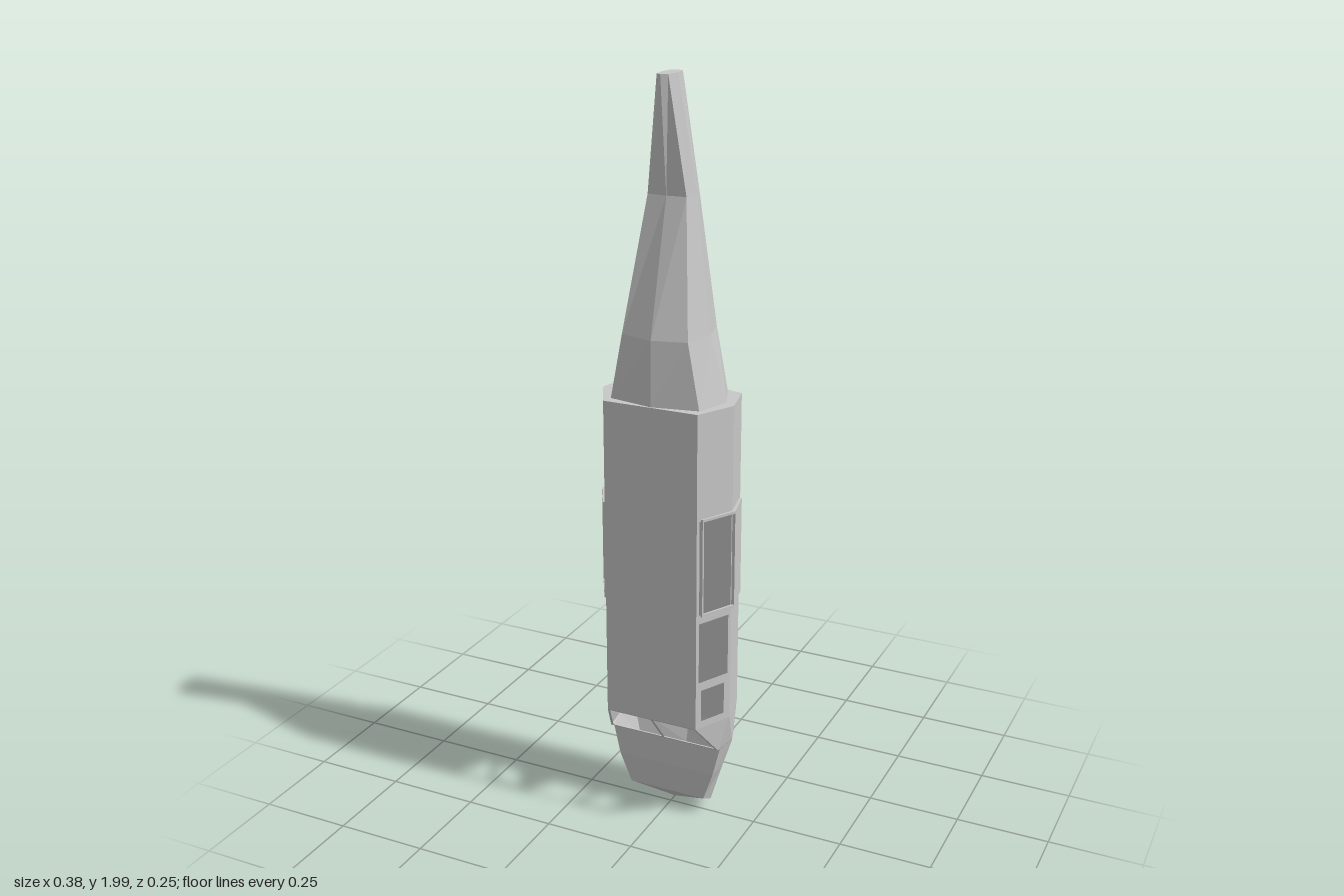
import * as THREE from 'three';

const grey = new THREE.MeshStandardMaterial({ color: 0xc8c8c8, flatShading: true, side: THREE.DoubleSide });
grey.name = 'light grey';

// Complete a half cross-section ([x, y, z], front to back) with its mirror image
const ring = (half) => [...half, ...half.filter((p) => p[0] > 0).reverse().map(([x, y, z]) => [-x, y, z])];

// Faceted geometry from convex polygons
function facets(polygons) {
  const pos = [];
  for (const p of polygons)
    for (let i = 1; i < p.length - 1; i++) pos.push(...p[0], ...p[i], ...p[i + 1]);
  const g = new THREE.BufferGeometry();
  g.setAttribute('position', new THREE.Float32BufferAttribute(pos, 3));
  g.computeVertexNormals();
  return g;
}

// Quads between successive rings, leaving out those that skip() names
function loft(rings, skip = () => false) {
  const quads = [];
  for (let r = 0; r < rings.length - 1; r++) {
    const lo = rings[r], hi = rings[r + 1];
    lo.forEach((p, i) => {
      const j = (i + 1) % lo.length;
      if (!skip(r, i)) quads.push([p, lo[j], hi[j], hi[i]]);
    });
  }
  return quads;
}

// Flat sheet with openings, laid out from an origin along two directions
function sheet(origin, xDir, yDir, outline, holes) {
  const pts = (a) => a.map(([x, y]) => new THREE.Vector2(x, y));
  const s = new THREE.Shape(pts(outline));
  for (const h of holes) s.holes.push(new THREE.Path(pts(h)));
  const X = new THREE.Vector3(...xDir).normalize(), Y = new THREE.Vector3(...yDir).normalize();
  const m = new THREE.Matrix4().makeBasis(X, Y, X.clone().cross(Y)).setPosition(...origin);
  return new THREE.ShapeGeometry(s).applyMatrix4(m);
}

const rect = (x0, x1, y0, y1) => [[x0, y0], [x1, y0], [x1, y1], [x0, y1]];

// Upright prism from an [x, z] outline; side -1 mirrors it
function prism(outline, y0, y1, side) {
  const s = new THREE.Shape(outline.map(([x, z]) => new THREE.Vector2(x * side, -z)));
  const g = new THREE.ExtrudeGeometry(s, { depth: y1 - y0, bevelEnabled: false });
  return g.rotateX(-Math.PI / 2).translate(0, y0, 0);
}

export function createModel() {
  const model = new THREE.Group();
  model.name = 'fuselage';
  const add = (name, geometry) => {
    const m = new THREE.Mesh(geometry, grey);
    m.name = name;
    model.add(m);
  };

  // Hull: nose, ledge, cockpit and cabin sections
  const cabin = (y) => ring([[0.13, y, 0.122], [0.183, y, 0.02], [0.16, y, -0.083], [0, y, -0.123]]);
  const hull = [
    ring([[0.11, 0.055, 0.025], [0.117, 0.038, -0.01], [0.1, 0.055, -0.062], [0, 0.055, -0.08]]),
    ring([[0.14, 0.14, 0.032], [0.145, 0.14, -0.02], [0.13, 0.14, -0.075], [0, 0.14, -0.102]]),
    ring([[0.16, 0.225, 0.03], [0.17, 0.225, -0.03], [0.151, 0.225, -0.083], [0, 0.225, -0.121]]),
    ring([[0.161, 0.23, 0.045], [0.171, 0.23, -0.027], [0.152, 0.23, -0.083], [0, 0.23, -0.122]]),
    cabin(0.325),
    cabin(1.2),
  ];
  const tip = [0, 0.006, -0.027];
  const nose = hull[0].map((p, i) => [hull[0][(i + 1) % 7], p, tip]);
  const open = (r, i) => (r === 4 && (i === 0 || i === 5)) || (r === 3 && i === 6);
  add('hull', facets([...loft(hull, open), ...nose, hull[5]]));

  // Cabin sides with window openings: [near, far] along the panel, then heights
  const width = Math.hypot(0.053, 0.102);
  const windows = [[0.15, 0.82, 0.345, 0.435], [0.08, 0.92, 0.46, 0.63], [0.08, 0.98, 0.655, 0.915]];
  for (const side of [1, -1]) {
    const holes = windows.map(([a, b, y0, y1]) =>
      side > 0 ? rect(a * width, b * width, y0, y1) : rect((1 - b) * width, (1 - a) * width, y0, y1));
    const origin = side > 0 ? [0.13, 0, 0.122] : [-0.183, 0, 0.02];
    add('windowPanel', sheet(origin, [0.053, 0, -0.102 * side], [0, 1, 0], rect(0, width, 0.325, 1.2), holes));

    // Sliding door: solid lower leaf and slim rim around the window
    add('doorLeaf', prism([[0.182, 0.02], [0.191, 0.02], [0.171, -0.068], [0.162, -0.066]], 0.655, 0.92, side));
    const rim = [[0.183, 0.02], [0.191, 0.02], [0.141, 0.11], [0.136, 0.11]];
    add('doorRim', prism(rim, 0.65, 0.657, side));
    add('doorRim', prism(rim, 0.913, 0.92, side));
    add('doorJamb', prism([[0.136, 0.11], [0.141, 0.11], [0.143, 0.106], [0.138, 0.106]], 0.65, 0.92, side));
  }

  // Windshield frame with two openings
  const slope = Math.hypot(0.095, 0.077);
  const pane = (s) => [[0.004, 0.005], [0.152, 0.005], [0.125, slope - 0.005], [0.004, slope - 0.005]].map(([x, y]) => [x * s, y]);
  add('windshieldFrame', sheet([0, 0.23, 0.045], [1, 0, 0], [0, 0.095, 0.077],
    [[-0.161, 0], [0.161, 0], [0.13, slope], [-0.13, slope]], [pane(1), pane(-1)]));

  // Tail boom
  const boom = [
    ring([[0, 1.2, 0.118], [0.122, 1.2, 0.095], [0.155, 1.2, 0.005], [0.121, 1.2, -0.084], [0, 1.2, -0.104]]),
    ring([[0, 1.37, 0.115], [0.09, 1.37, 0.093], [0.112, 1.37, 0.005], [0.088, 1.37, -0.084], [0, 1.37, -0.1]]),
    ring([[0, 1.71, 0.026], [0.052, 1.71, 0.022], [0.064, 1.71, -0.017], [0.05, 1.71, -0.058], [0, 1.71, -0.07]]),
    ring([[0, 2, 0.058], [0.015, 2, 0.046], [0.021, 2, 0.005], [0.016, 2, -0.033], [0, 2, -0.04]]),
  ];
  add('tailBoom', facets([...loft(boom), boom[3]]));

  return model;
}
